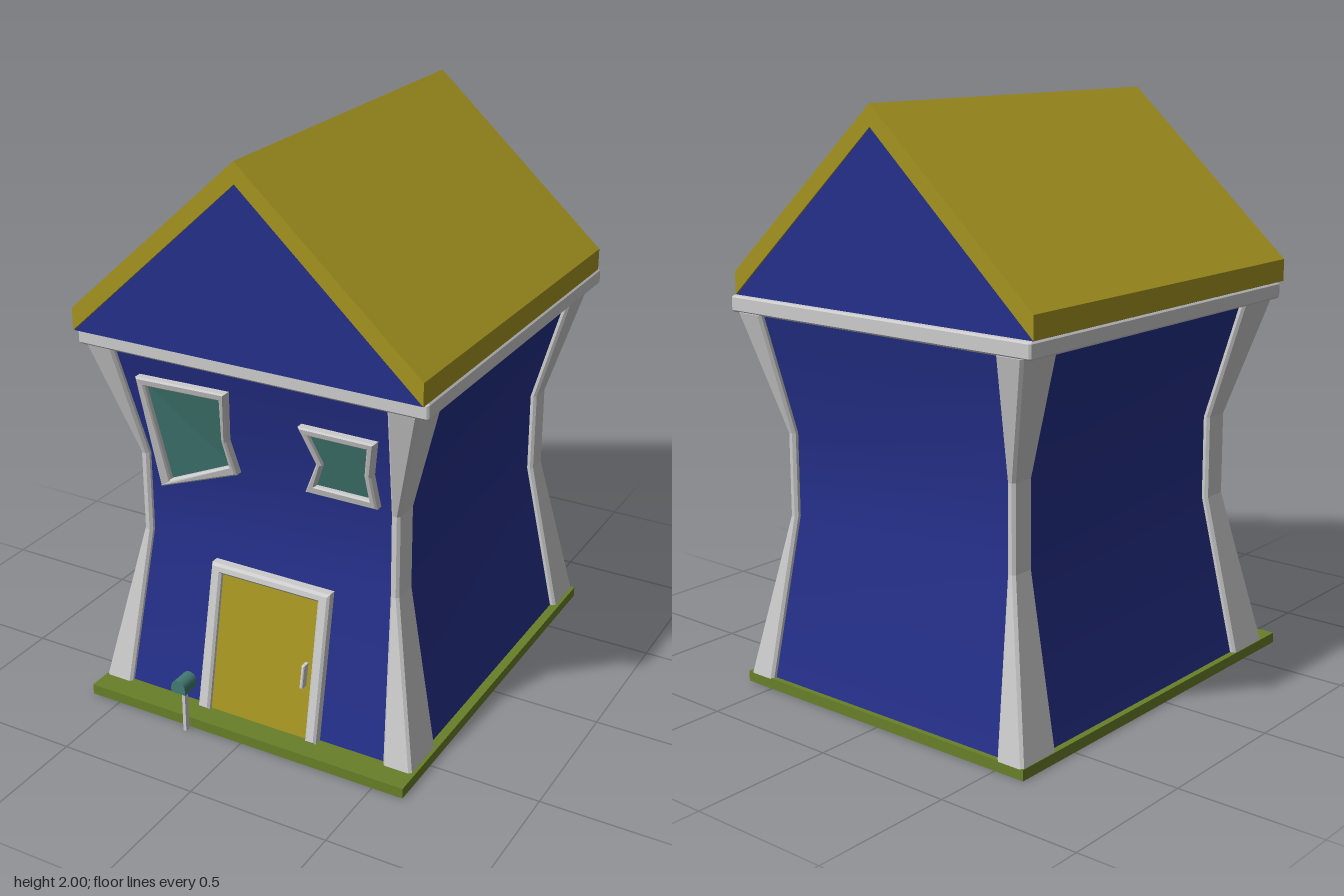
import * as THREE from 'three';
import { toCreasedNormals } from 'three/addons/utils/BufferGeometryUtils.js';

const mat = (color) => new THREE.MeshStandardMaterial({ color });
const GREY = mat(0xcccccc), BLUE = mat(0x25308a), GOLD = mat(0xa69420),
  GREEN = mat(0x687f28), TEAL = mat(0x427a73);

// heights of the hourglass bends, and how far each is pinched inward
const LEVELS = [0.035, 0.6, 0.89, 1.3];
const PINCH = [0, 1, 1, 0];

// outer faces of the house at a level; d insets them
function outline(i, d = 0) {
  const p = PINCH[i] * 0.113;
  return { x0: -0.61 + p + d, x1: 0.6 - p - d, z0: -0.758 + p * 0.88 + d, z1: 0.62 - p + d * -1 };
}

// front wall depth at any height
function wallZ(y) {
  for (let i = 0; i < 3; i++) {
    if (y <= LEVELS[i + 1] || i === 2) {
      const t = (y - LEVELS[i]) / (LEVELS[i + 1] - LEVELS[i]);
      return THREE.MathUtils.lerp(outline(i, 0.02).z1, outline(i + 1, 0.02).z1, t);
    }
  }
}

// skin a stack of closed rings and cap both ends
function loft(rings, crease) {
  const n = rings[0].length, pos = rings.flat(2), idx = [];
  for (let i = 0; i < rings.length - 1; i++) {
    for (let j = 0; j < n; j++) {
      const a = i * n + j, b = i * n + (j + 1) % n;
      idx.push(a, b, b + n, a, b + n, a + n);
    }
  }
  const top = (rings.length - 1) * n;
  for (let j = 1; j < n - 1; j++) idx.push(0, j + 1, j, top, top + j, top + j + 1);
  const g = new THREE.BufferGeometry();
  g.setAttribute('position', new THREE.Float32BufferAttribute(pos, 3));
  g.setIndex(idx);
  return toCreasedNormals(g, crease);
}

// rectangle ring, corners cut by c
function ring(x0, x1, z0, z1, y, c = 0) {
  if (!c) return [[x0, y, z1], [x1, y, z1], [x1, y, z0], [x0, y, z0]];
  return [[x0 + c, y, z1], [x1 - c, y, z1], [x1, y, z1 - c], [x1, y, z0 + c],
    [x1 - c, y, z0], [x0 + c, y, z0], [x0, y, z0 + c], [x0, y, z1 - c]];
}

function polygon(points) {
  return new THREE.Shape(points.map(([x, y]) => new THREE.Vector2(x, y)));
}

// extruded shape that leans with the front wall; z is measured from the wall
function onWall(shape, z, depth, bevel = 0) {
  const g = new THREE.ExtrudeGeometry(shape, {
    depth: depth - bevel, bevelEnabled: bevel > 0, bevelSize: bevel, bevelOffset: -bevel,
    bevelThickness: bevel, bevelSegments: 1,
  });
  const p = g.attributes.position;
  for (let i = 0; i < p.count; i++) p.setZ(i, p.getZ(i) + z + wallZ(p.getY(i)));
  g.computeVertexNormals();
  return g;
}

export function createModel() {
  const house = new THREE.Group();
  house.name = 'house';
  const add = (name, geometry, material, parent = house) => {
    const m = new THREE.Mesh(geometry, material);
    m.name = name;
    parent.add(m);
    return m;
  };
  const box = (name, x0, x1, y0, y1, z0, z1, material, parent) => {
    const m = add(name, new THREE.BoxGeometry(x1 - x0, y1 - y0, z1 - z0), material, parent);
    m.position.set((x0 + x1) / 2, (y0 + y1) / 2, (z0 + z1) / 2);
    return m;
  };

  // lawn and pinched walls
  box('ground', -0.612, 0.612, 0, 0.037, -0.757, 0.7, GREEN);
  add('walls', loft(LEVELS.map((y, i) => {
    const o = outline(i, 0.02);
    return ring(o.x0, o.x1, o.z0, o.z1, y);
  }), 0.6), BLUE);

  // four bent corner posts, thinner at the waist
  for (const left of [false, true]) {
    for (const front of [true, false]) {
      const rings = LEVELS.map((y, i) => {
        const o = outline(i), p = PINCH[i];
        const wx = 0.105 - 0.074 * p, wz = (front ? 0.18 : 0.168) - 0.078 * p;
        return ring(
          left ? o.x1 - wx : o.x0, left ? o.x1 : o.x0 + wx,
          front ? o.z1 - wz : o.z0, front ? o.z1 : o.z0 + wz, y, 0.009);
      });
      add((front ? 'front' : 'back') + (left ? 'Left' : 'Right') + 'Post', loft(rings, 0.1), GREY);
    }
  }

  // trim band under the roof, with chamfered edges
  const band = (d, y) => ring(-0.636 + d, 0.636 - d, -0.754 + d, 0.624 - d, y, 0.006);
  add('eavesTrim', loft([band(0.005, 1.298), band(0, 1.304), band(0, 1.347), band(0.005, 1.353)], 0.1), GREY);

  // roof slabs and gable infill
  const prism = (points, z0, z1) =>
    new THREE.ExtrudeGeometry(polygon(points), { depth: z1 - z0, bevelEnabled: false }).translate(0, 0, z0);
  add('roof', prism([[-0.632, 1.354], [0, 1.93], [0.632, 1.354], [0.632, 1.43], [0, 2], [-0.632, 1.43]],
    -0.735, 0.65), GOLD);
  add('gables', prism([[-0.63, 1.353], [0.63, 1.353], [0, 1.929]], -0.732, 0.647), BLUE);

  // crooked windows: frame with a hole, and a pane inside it
  const windows = {
    rightWindow: {
      outer: [[-0.43, 1.215], [-0.41, 0.785], [-0.105, 0.9], [-0.12, 1.03], [-0.085, 1.225]],
      inner: [[-0.4, 1.185], [-0.372, 0.82], [-0.13, 0.93], [-0.138, 1.03], [-0.113, 1.195]],
    },
    leftWindow: {
      outer: [[0.17, 1.165], [0.215, 1.03], [0.155, 0.905], [0.415, 0.905], [0.41, 1.03], [0.44, 1.165]],
      inner: [[0.2, 1.138], [0.235, 1.03], [0.195, 0.937], [0.39, 0.937], [0.387, 1.03], [0.41, 1.138]],
    },
  };
  for (const [name, { outer, inner }] of Object.entries(windows)) {
    const g = new THREE.Group();
    g.name = name;
    house.add(g);
    const shape = polygon(outer);
    shape.holes.push(polygon(inner));
    add('windowFrame', onWall(shape, -0.01, 0.042, 0.006), GREY, g);
    add('windowPane', onWall(polygon(inner), -0.01, 0.022), TEAL, g);
  }

  // door with its surround and handle
  const door = new THREE.Group();
  door.name = 'door';
  house.add(door);
  add('doorFrame', onWall(polygon([[-0.215, 0.036], [-0.17, 0.036], [-0.168, 0.522], [0.206, 0.522],
    [0.209, 0.036], [0.25, 0.036], [0.248, 0.555], [-0.208, 0.555]]), -0.01, 0.046, 0.008), GREY, door);
  add('doorPanel', onWall(polygon([[-0.172, 0.036], [0.211, 0.036], [0.209, 0.525], [-0.172, 0.525]]),
    -0.01, 0.026), GOLD, door);
  add('doorHandle', onWall(polygon([[0.176, 0.22], [0.187, 0.22], [0.187, 0.3], [0.176, 0.3]]),
    0.01, 0.035, 0.003), GREY, door);

  // letter box with a rounded top on a thin stake
  const mailbox = new THREE.Group();
  mailbox.name = 'mailbox';
  house.add(mailbox);
  box('mailboxStake', -0.211, -0.199, 0, 0.17, 0.711, 0.73, GREY, mailbox);
  const arch = new THREE.Shape();
  arch.moveTo(-0.027, 0);
  arch.lineTo(0.027, 0);
  arch.lineTo(0.027, 0.022);
  arch.absarc(0, 0.022, 0.027, 0, Math.PI, false);
  const body = new THREE.ExtrudeGeometry(arch, { depth: 0.07, bevelEnabled: false, curveSegments: 6 });
  add('mailboxBody', body, TEAL, mailbox).position.set(-0.204, 0.166, 0.69);
  box('mailboxFlag', -0.235, -0.23, 0.17, 0.185, 0.738, 0.756, TEAL, mailbox);

  return house;
}
